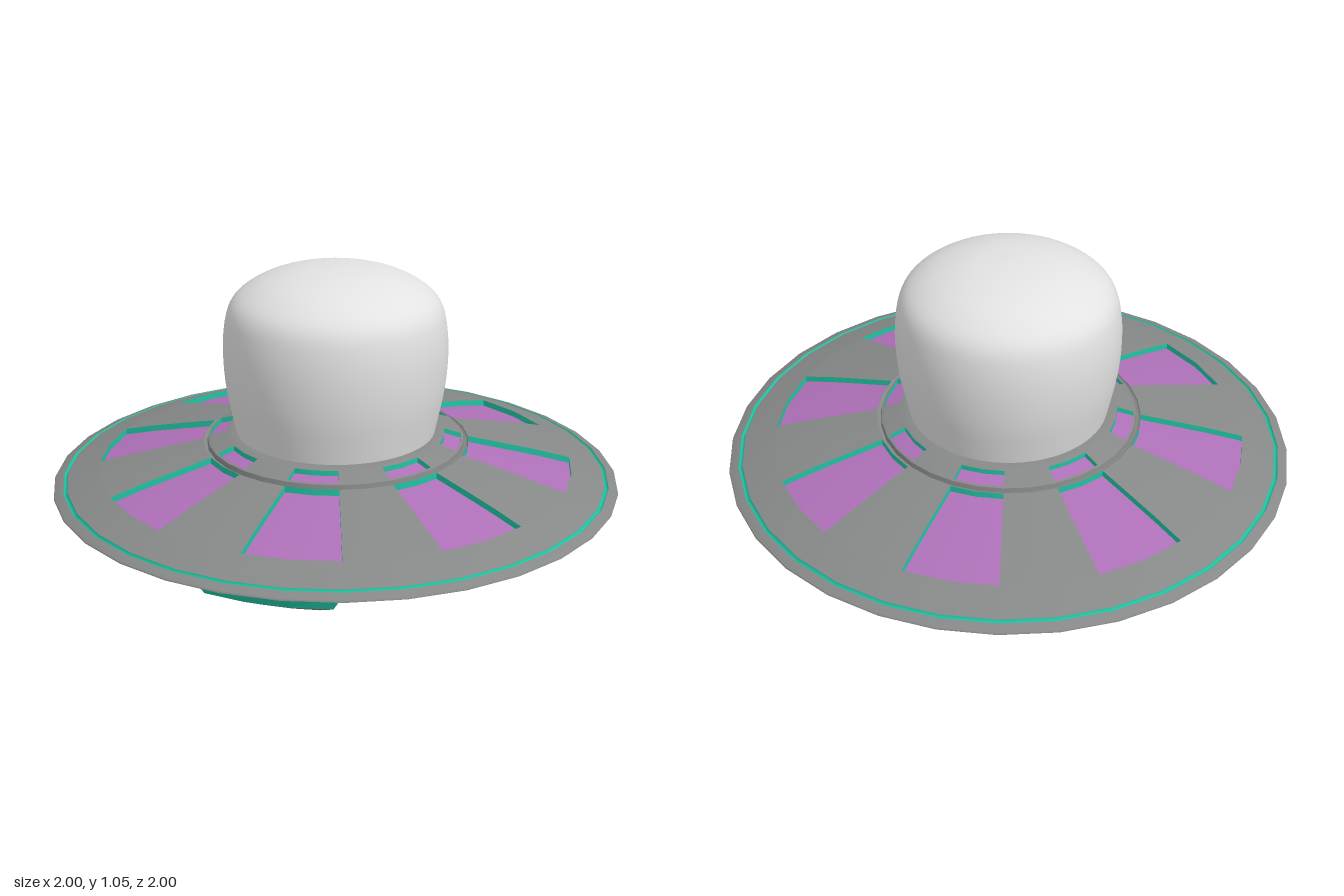
import * as THREE from 'three';

const SEG = 32, STEP = Math.PI * 2 / SEG;

function mat(name, color, double = false) {
  const m = new THREE.MeshStandardMaterial({ color });
  m.name = name;
  if (double) m.side = THREE.DoubleSide;
  return m;
}

// Point on a circle: angle runs from +z towards +x
const polar = (r, y, a) => [r * Math.sin(a), y, r * Math.cos(a)];

function quads(list) {
  const pos = [];
  for (const [a, b, c, d] of list) pos.push(...a, ...b, ...c, ...a, ...c, ...d);
  const g = new THREE.BufferGeometry();
  g.setAttribute('position', new THREE.Float32BufferAttribute(pos, 3));
  g.computeVertexNormals();
  return g;
}

export function createModel() {
  const hull = mat('hullGrey', 0x868988);
  const white = mat('domeWhite', 0xe2e2e2);
  const purple = mat('windowPurple', 0xae70b8);
  const green = mat('trimGreen', 0x20c4a2, true);
  const dark = mat('engineDark', 0x2c2c2c);

  const model = new THREE.Group();
  model.name = 'saucer';
  const add = (name, geo, m, parent = model) => {
    const mesh = new THREE.Mesh(geo, m);
    mesh.name = name;
    parent.add(mesh);
    return mesh;
  };
  const lathe = (pts, seg = SEG, start = 0, len = Math.PI * 2) =>
    new THREE.LatheGeometry(pts.map(p => new THREE.Vector2(p[0], p[1])), seg, start, len);

  // Dome
  const domeCurve = new THREE.SplineCurve([
    [0.345, 0.43], [0.36, 0.5], [0.383, 0.62], [0.392, 0.74], [0.386, 0.84], [0.366, 0.915],
    [0.32, 0.965], [0.24, 1.008], [0.13, 1.037], [0, 1.047],
  ].map(p => new THREE.Vector2(...p)));
  add('dome', lathe(domeCurve.getPoints(36).map(p => [Math.max(p.x, 0), p.y]), 64), white);

  // Full rings of the hull, each a separate smooth band
  add('lowerHull', lathe([[0.52, 0.135], [0.7, 0.17], [0.85, 0.212], [0.95, 0.25], [1, 0.272]]), hull);
  add('engineCollar', lathe([[0.465, 0.085], [0.52, 0.135]]), hull);
  add('engineCollarInside', lathe([[0.46, 0.105], [0.465, 0.085]]), hull);
  add('rim', lathe([[1, 0.272], [0.998, 0.279], [0.966, 0.29]]), hull);
  add('rimGroove', lathe([[0.966, 0.29], [0.963, 0.282], [0.955, 0.282], [0.952, 0.293]]), green);
  add('upperEdge', lathe([[0.952, 0.293], [0.9, 0.312], [0.835, 0.333]]), hull);
  add('collarGroove', lathe([[0.47, 0.418], [0.467, 0.41], [0.455, 0.41]]), hull);
  add('collarStep', lathe([[0.455, 0.41], [0.452, 0.427]]), hull);
  add('collarEdge', lathe([[0.452, 0.427], [0.445, 0.43]]), hull);
  add('collarTop', lathe([[0.385, 0.449], [0.36, 0.457], [0.3, 0.46]]), hull);

  // Bands with eight sunken windows, alternating with solid sectors
  function windowBand(name, profile, depth) {
    const group = new THREE.Group();
    group.name = name;
    model.add(group);
    const floor = profile.map(([r, y]) => [r, y - depth]);
    const last = profile.length - 1;
    for (let k = 0; k < 8; k++) {
      const a0 = k * 4 * STEP, len = 2 * STEP, a1 = a0 + len;
      add('solidPanel', lathe(profile, 2, a1, len), hull, group);
      add('window', lathe(floor, 2, a0, len), purple, group);
      add('outerFrame', lathe([profile[0], floor[0]], 2, a0, len), green, group);
      add('innerFrame', lathe([floor[last], profile[last]], 2, a0, len), green, group);
      const sides = [];
      for (let i = 0; i < last; i++) {
        sides.push([polar(...floor[i], a0), polar(...floor[i + 1], a0),
          polar(...profile[i + 1], a0), polar(...profile[i], a0)]);
        sides.push([polar(...floor[i + 1], a1), polar(...floor[i], a1),
          polar(...profile[i], a1), polar(...profile[i + 1], a1)]);
      }
      add('sideFrames', quads(sides), green, group);
    }
  }
  windowBand('mainWindows', [[0.835, 0.333], [0.72, 0.363], [0.6, 0.39], [0.47, 0.418]], 0.022);
  windowBand('collarWindows', [[0.445, 0.43], [0.385, 0.449]], 0.018);

  // Landing pods: three outlines, green wall above and grey bevel below
  function outline(rOut, yOut, rIn, yIn, half) {
    const pts = [];
    for (let j = 0; j <= 3; j++) pts.push(polar(rOut, yOut, half * (j / 1.5 - 1)));
    for (let j = 3; j >= 0; j--) pts.push(polar(rIn, yIn, half * (j / 1.5 - 1)));
    return pts;
  }
  const wall = (up, low) => quads(up.map((p, i) => {
    const n = (i + 1) % up.length;
    return [low[i], low[n], up[n], p];
  }));
  const top = outline(0.86, 0.222, 0.52, 0.142, 1.5 * STEP);
  const mid = outline(0.835, 0.165, 0.535, 0.122, 1.33 * STEP);
  const low = outline(0.7, 0.092, 0.56, 0.088, 1.0 * STEP);
  const podTrim = wall(top, mid), podBevel = wall(mid, low);
  const podBase = quads([0, 1, 2].map(j => [low[j], low[7 - j], low[6 - j], low[j + 1]]));
  for (const s of [3.5, 10.5, 16.5, 22.5, 28.5]) {
    const pod = new THREE.Group();
    pod.name = 'landingPod';
    pod.rotation.y = s * STEP;
    add('podTrim', podTrim, green, pod);
    add('podBevel', podBevel, hull, pod);
    add('podBase', podBase, hull, pod);
    model.add(pod);
  }

  // Engine: dark ring with radial ribs around a glowing disc
  add('engineOuter', lathe([[0.31, 0.032], [0.41, 0.08], [0.465, 0.1]]), dark);
  add('engineLip', lathe([[0.27, 0.032], [0.31, 0.032]]), dark);
  add('engineInner', lathe([[0.175, 0.115], [0.27, 0.032]]), dark);
  add('engineDisc', lathe([[0, 0.114], [0.18, 0.114]]), green);
  const ribShape = new THREE.Shape([
    [0.45, 0.1], [0.44, 0.078], [0.41, 0.068], [0.395, 0.045], [0.325, 0.012], [0.315, 0],
    [0.275, 0], [0.255, 0.03], [0.19, 0.09], [0.19, 0.11],
  ].map(p => new THREE.Vector2(...p)));
  const rib = new THREE.ExtrudeGeometry(ribShape, { depth: 0.03, bevelEnabled: false });
  rib.translate(0, 0, -0.015);
  for (let i = 0; i < SEG; i++) add('engineRib', rib, dark).rotation.y = (i + 0.5) * STEP;

  return model;
}
